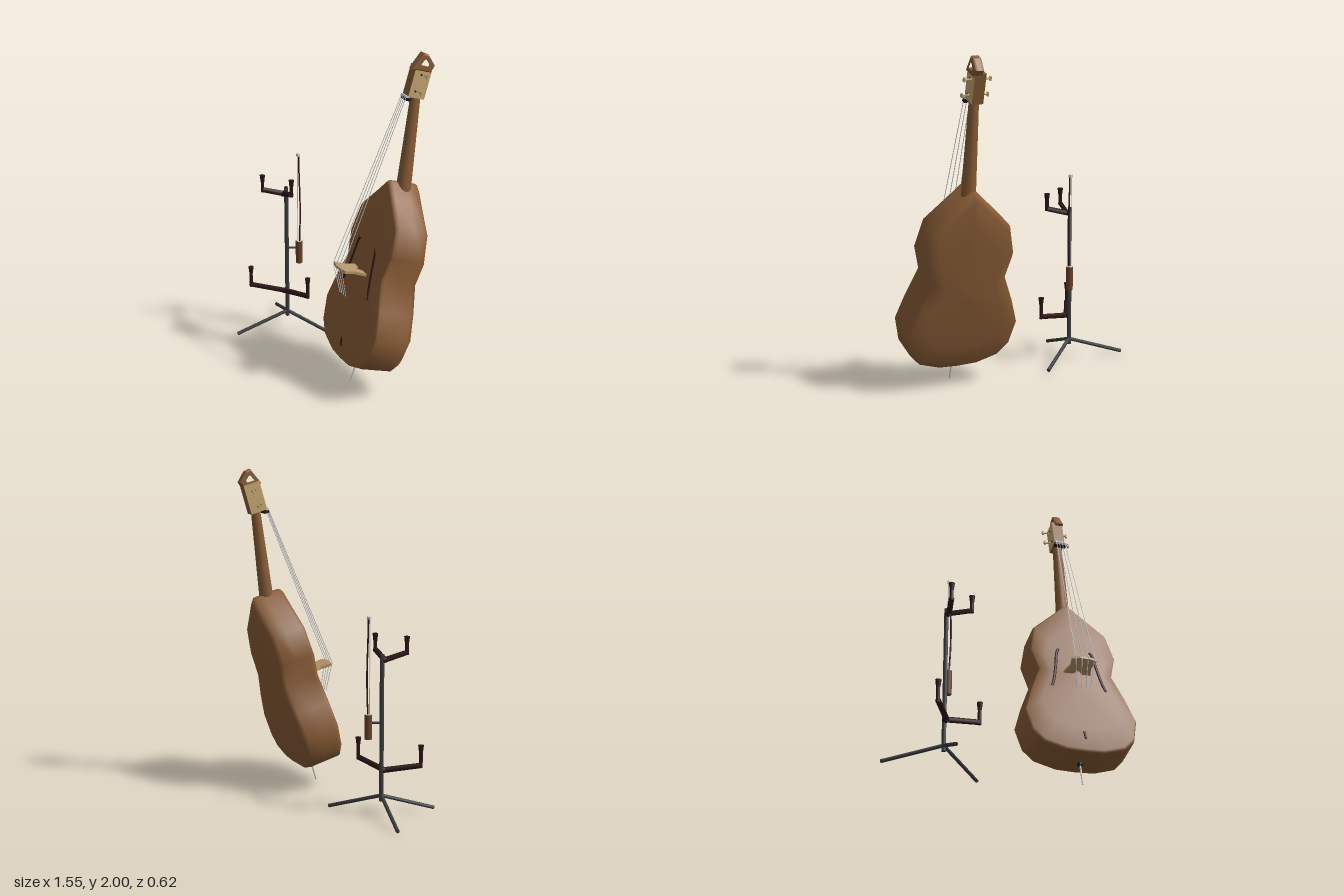
import * as THREE from 'three';

const mat = (name, color) => {
  const m = new THREE.MeshStandardMaterial({ color });
  m.name = name;
  return m;
};
const V = (p) => new THREE.Vector3(...p);

export function createModel() {
  const wood = mat('warm wood', 0x8a5d36);
  const holderWood = mat('holder wood', 0x6b4228);
  const tan = mat('pale maple', 0xc6a873);
  const bridgeWood = mat('bridge wood', 0xb8976b);
  const iron = mat('stand iron', 0x3a3d40);
  const dark = mat('dark rosewood', 0x2e1416);
  const black = mat('ebony', 0x17130f);
  const steel = mat('steel', 0xcdd1d4);

  const root = new THREE.Group();
  root.name = 'bassAndStand';

  const add = (parent, name, geometry, material, pos = [0, 0, 0]) => {
    const m = new THREE.Mesh(geometry, material);
    m.name = name;
    m.position.set(...pos);
    parent.add(m);
    return m;
  };
  // Round rod from a to b
  const rod = (parent, name, a, b, r0, r1, material, sides = 8) => {
    const p = V(a), q = V(b), d = q.clone().sub(p);
    const m = add(parent, name, new THREE.CylinderGeometry(r1, r0, d.length(), sides), material);
    m.position.copy(p).add(q).multiplyScalar(0.5);
    m.quaternion.setFromUnitVectors(new THREE.Vector3(0, 1, 0), d.normalize());
    return m;
  };
  const tube = (parent, name, pts, r, material) =>
    add(parent, name, new THREE.TubeGeometry(new THREE.CatmullRomCurve3(pts.map(V)), 16, r, 6), material);

  // ---------- Bass: built upright, then turned and leaned back ----------
  const bass = new THREE.Group();
  bass.name = 'bass';
  bass.position.set(0.377, 0, 0.17);
  bass.rotation.set(-0.28, -0.29, 0, 'YXZ');
  root.add(bass);

  // Body: one outline, scaled into rings from front dome to back dome
  const half = [[0.12, 0.153], [0.253, 0.195], [0.318, 0.265], [0.352, 0.41], [0.302, 0.565], [0.234, 0.735],
    [0.274, 0.885], [0.235, 1.06], [0.1, 1.188], [0.015, 1.272]];
  const outline = [[0, 0.148], ...half, ...half.slice().reverse().map(([x, y]) => [-x, y])];
  const rings = [[0, 0.146], [0.7, 0.141], [0.965, 0.126], [0.992, 0.116], [1, 0.1], [1, 0], [1, -0.09],
    [0.94, -0.115], [0.68, -0.13], [0, -0.135]];
  const n = outline.length, cy = 0.65, pos = [], idx = [];
  for (const [f, z] of rings) {
    for (const [x, y] of outline) {
      const py = cy + (y - cy) * f;
      // The back slopes inwards above the waist
      pos.push(x * f, py, z < 0 ? z + Math.max(0, py - cy) * 0.045 : z);
    }
  }
  for (let j = 0; j < rings.length - 1; j++) {
    for (let i = 0; i < n; i++) {
      const a = j * n + i, b = j * n + (i + 1) % n, c = a + n, d = b + n;
      idx.push(c, d, b, c, b, a);
    }
  }
  const bodyGeo = new THREE.BufferGeometry();
  bodyGeo.setAttribute('position', new THREE.Float32BufferAttribute(pos, 3));
  bodyGeo.setIndex(idx);
  bodyGeo.computeVertexNormals();
  add(bass, 'body', bodyGeo, wood);

  // Sound holes and saddle mark
  for (const s of [-1, 1]) {
    tube(bass, 'soundHole', [[s * 0.1, 0.885, 0.142], [s * 0.112, 0.865, 0.142], [s * 0.134, 0.74, 0.141],
      [s * 0.158, 0.63, 0.141], [s * 0.174, 0.592, 0.139]], 0.0095, dark);
  }
  rod(bass, 'saddleMark', [0.002, 0.23, 0.133], [-0.005, 0.282, 0.136], 0.008, 0.008, black, 6);

  // Endpin
  rod(bass, 'endpin', [0, 0, 0], [0, 0.17, 0], 0.005, 0.006, steel);
  rod(bass, 'endpinCollar', [0, 0.133, 0], [0, 0.16, 0], 0.015, 0.02, black);

  // Neck, head and triangular scroll
  rod(bass, 'neck', [0.012, 1.2, 0.012], [0.004, 1.79, 0.104], 0.045, 0.029, wood, 12);
  add(bass, 'head', new THREE.BoxGeometry(0.07, 0.182, 0.105), [tan, tan, wood, wood, wood, wood], [0, 1.869, 0.113]);
  const scrollPath = (k, Path) => {
    const [cz, cy0] = [0.118, 1.985];
    const pts = [[0.175, 1.943], [0.136, 2.03], [0.11, 2.027], [0.06, 1.98], [0.072, 1.945]];
    return new Path(pts.map(([z, y]) => new THREE.Vector2(-(cz + (z - cz) * k), cy0 + (y - cy0) * k)));
  };
  const scrollShape = scrollPath(1, THREE.Shape);
  scrollShape.holes.push(scrollPath(0.45, THREE.Path));
  const scrollGeo = new THREE.ExtrudeGeometry(scrollShape,
    { depth: 0.03, bevelThickness: 0.013, bevelSize: 0.009, bevelSegments: 2 });
  scrollGeo.translate(0, 0, -0.015).rotateY(Math.PI / 2);
  add(bass, 'scroll', scrollGeo, wood, [0.012, 0, 0]);

  // Tuning pegs
  for (const s of [-1, 1]) {
    for (const [y, z] of [[1.817, 0.11], [1.915, 0.1]]) {
      rod(bass, 'peg', [s * 0.03, y, z], [s * 0.085, y, z], 0.005, 0.005, tan);
      add(bass, 'pegKnob', new THREE.BoxGeometry(0.01, 0.024, 0.016), tan, [s * 0.08, y, z]);
      rod(bass, 'pegGear', [s * 0.034, y, z + 0.02], [s * 0.039, y, z + 0.02], 0.006, 0.006, black);
    }
  }

  // Nut, bridge and strings
  add(bass, 'nut', new THREE.BoxGeometry(0.076, 0.016, 0.03), black, [0.004, 1.763, 0.16]);
  const bridgeShape = new THREE.Shape([[-0.09, -0.13], [-0.045, -0.13], [0, -0.175], [0.045, -0.13], [0.09, -0.13],
    [0.065, -0.21], [0.078, -0.282], [0.03, -0.295], [-0.03, -0.295], [-0.078, -0.282], [-0.065, -0.21]]
    .map((p) => new THREE.Vector2(...p)));
  const bridgeGeo = new THREE.ExtrudeGeometry(bridgeShape, { depth: 0.016, bevelEnabled: false });
  bridgeGeo.rotateX(-Math.PI / 2);
  add(bass, 'bridge', bridgeGeo, bridgeWood, [0, 0.704, 0]);
  for (let i = 0; i < 4; i++) {
    const t = i / 1.5 - 1;
    const top = [0.003 + t * 0.028, 1.776, 0.176], mid = [t * 0.06, 0.716, 0.297], end = [t * 0.042, 0.55, 0.212];
    rod(bass, 'string', top, mid, 0.0023, 0.0023, steel, 5);
    rod(bass, 'stringTail', mid, end, 0.0023, 0.0023, steel, 5);
    add(bass, 'stringAnchor', new THREE.BoxGeometry(0.012, 0.012, 0.016), steel, [top[0], 1.777, 0.17]);
  }

  // ---------- Stand ----------
  const stand = new THREE.Group();
  stand.name = 'stand';
  stand.position.set(-0.458, 0, -0.014);
  root.add(stand);
  rod(stand, 'pole', [0, 0.09, 0], [0, 0.975, 0], 0.013, 0.013, iron);
  for (const [x, z] of [[-0.315, -0.154], [0.315, -0.141], [-0.115, 0.319]]) {
    rod(stand, 'leg', [0, 0.125, 0], [x, 0.014, z], 0.011, 0.011, iron);
  }
  // Two cradles, each with a pair of arms and padded uprights
  const cradles = [
    { y: 0.274, rise: 0.034, h: 0.131, ends: [[-0.15, 0.176], [0.228, 0.017]] },
    { y: 0.937, rise: 0.038, h: 0.108, ends: [[-0.055, 0.144], [0.135, 0.066]] },
  ];
  for (const { y, rise, h, ends } of cradles) {
    rod(stand, 'cradleHub', [0, y, 0], [0.003, y, 0.036], 0.017, 0.017, dark);
    for (const [x, z] of ends) {
      rod(stand, 'cradleArm', [0.003, y, 0.024], [x, y + rise, z], 0.017, 0.016, dark, 6);
      rod(stand, 'cradleUpright', [x, y + rise - 0.014, z], [x, y + h, z], 0.012, 0.011, dark, 6);
      rod(stand, 'cradlePad', [x, y + h - 0.02, z], [x, y + h + 0.026, z], 0.012, 0.018, dark, 6);
    }
  }

  // Bow hanging in its holder
  const bow = new THREE.Group();
  bow.name = 'bow';
  bow.position.set(-0.403, 0, -0.07);
  root.add(bow);
  rod(bow, 'bowHolder', [0, 0.465, 0], [0, 0.612, 0], 0.022, 0.022, holderWood, 12);
  rod(bow, 'holderCap', [0, 0.608, 0], [0, 0.615, 0], 0.018, 0.018, steel, 12);
  rod(bow, 'holderBracket', [0, 0.565, 0], [-0.055, 0.565, 0.056], 0.007, 0.007, iron);
  tube(bow, 'bowStick', [[0.004, 0.6, 0], [0.012, 0.75, 0], [0.013, 0.88, 0], [0.006, 1.05, 0], [0.002, 1.185, 0]],
    0.005, dark);
  rod(bow, 'bowHair', [-0.012, 0.6, 0], [-0.01, 1.185, 0], 0.003, 0.003, steel, 5);
  add(bow, 'bowTip', new THREE.BoxGeometry(0.022, 0.016, 0.016), steel, [-0.004, 1.187, 0]);

  return root;
}
